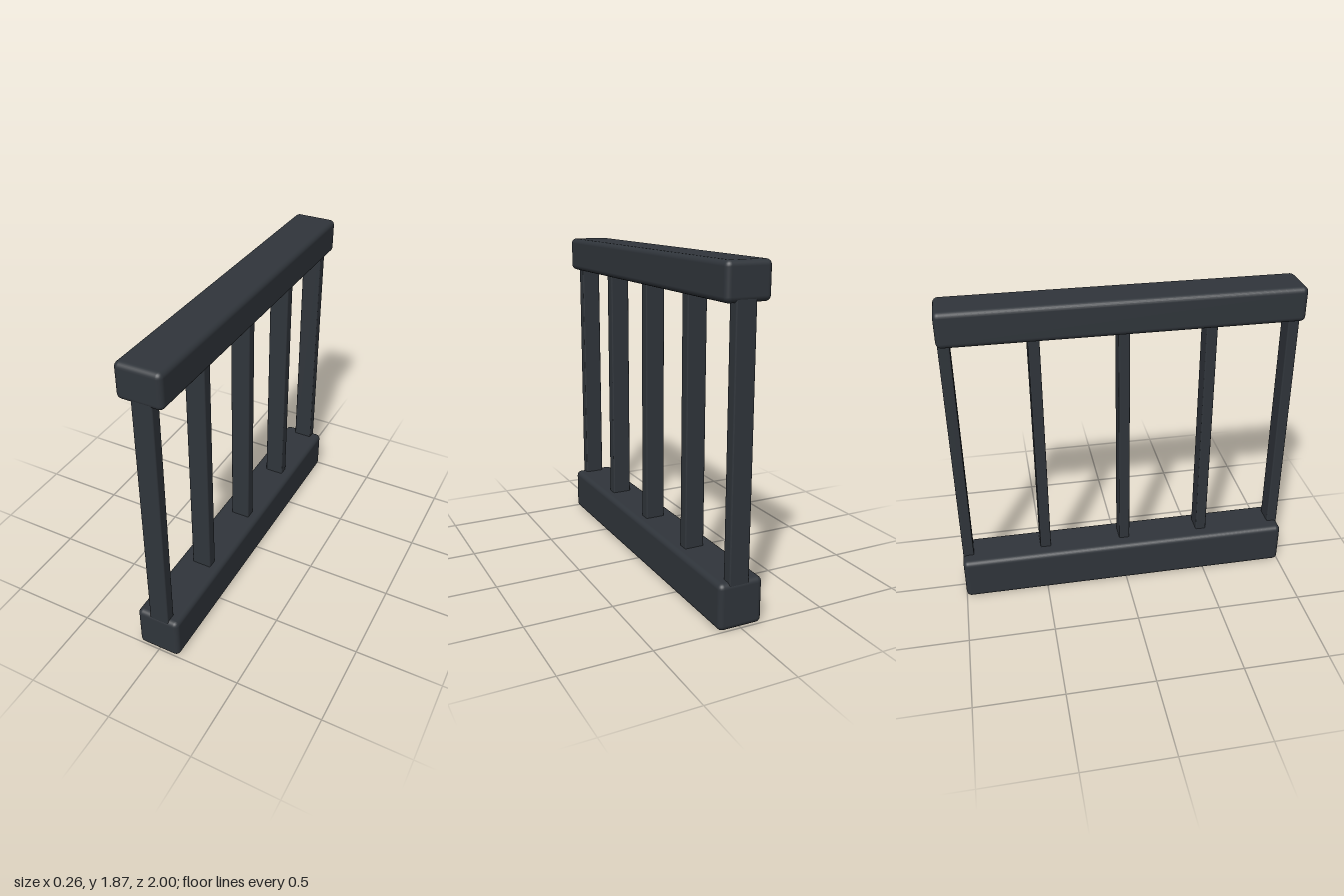
import * as THREE from 'three';
import { RoundedBoxGeometry } from 'three/addons/geometries/RoundedBoxGeometry.js';

export function createModel() {
  const group = new THREE.Group();
  group.name = 'railing';
  const material = new THREE.MeshStandardMaterial({ color: 0x30353b });

  // Rounded block spanning y0..y1
  function block(name, width, depth, y0, y1, radius, x, z) {
    const mesh = new THREE.Mesh(new RoundedBoxGeometry(width, y1 - y0, depth, 3, radius), material);
    mesh.name = name;
    mesh.position.set(x, (y0 + y1) / 2, z);
    group.add(mesh);
  }

  // Rails
  block('bottomRail', 0.256, 2, 0, 0.26, 0.03, 0, 0);
  block('topRail', 0.256, 2, 1.67, 1.87, 0.03, 0, 0);

  // Upright bars, set slightly off the rail centre line, ends sunk into the rails
  [0.965, 0.493, 0, -0.493, -0.965].forEach((z, i) =>
    block(`bar${i + 1}`, 0.115, 0.064, 0.2, 1.72, 0.008, 0.013, z));

  return group;
}
